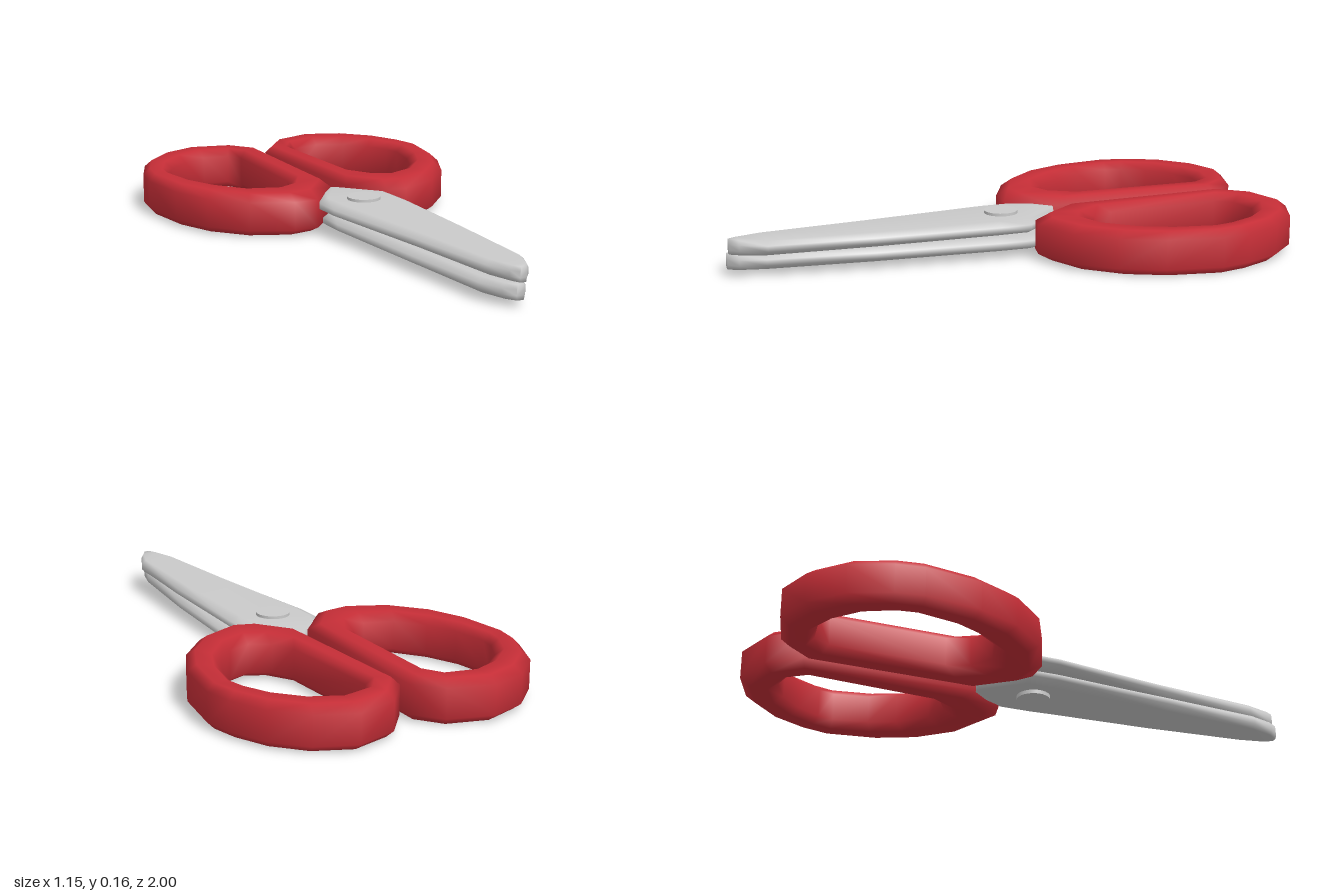
import * as THREE from 'three';

const red = new THREE.MeshStandardMaterial({ color: 0xc62e37 });
red.name = 'red plastic';
const steel = new THREE.MeshStandardMaterial({ color: 0xcacaca });
steel.name = 'steel';

// Chamfered bar swept through stations [ax, az, bx, bz]; the section spans a to b.
function sweep(name, material, stations, y0, y1, chamferX, chamferY, closed) {
  const c = chamferX, d = chamferY;
  const section = [[0, d], [0, 1 - d], [c, 1], [1 - c, 1], [1, 1 - d], [1, d], [1 - c, 0], [c, 0]];
  const pos = [], index = [];
  const m = section.length, n = stations.length;
  for (const [ax, az, bx, bz] of stations) {
    for (const [t, h] of section) {
      pos.push(ax + (bx - ax) * t, y0 + (y1 - y0) * h, az + (bz - az) * t);
    }
  }
  for (let i = 0; i < (closed ? n : n - 1); i++) {
    for (let k = 0; k < m; k++) {
      const a = i * m + k, b = i * m + (k + 1) % m;
      const e = ((i + 1) % n) * m + k, f = ((i + 1) % n) * m + (k + 1) % m;
      index.push(a, b, e, b, f, e);
    }
  }
  // End caps
  if (!closed) {
    const last = (n - 1) * m;
    for (let k = 1; k < m - 1; k++) {
      index.push(0, k + 1, k, last, last + k, last + k + 1);
    }
  }
  // Turn the faces outward: the enclosed volume must be positive
  let volume = 0;
  const p = [0, 1, 2].map(() => new THREE.Vector3());
  for (let i = 0; i < index.length; i += 3) {
    p.forEach((v, j) => v.fromArray(pos, index[i + j] * 3));
    volume += p[0].dot(p[1].clone().cross(p[2]));
  }
  if (volume < 0) index.reverse();
  const geometry = new THREE.BufferGeometry();
  geometry.setAttribute('position', new THREE.Float32BufferAttribute(pos, 3));
  geometry.setIndex(index);
  geometry.computeVertexNormals();
  const mesh = new THREE.Mesh(geometry, material);
  mesh.name = name;
  return mesh;
}

// Finger loops: outer x, outer z, inner x, inner z around each ring
const rightLoop = [
  [-0.02, -0.85, -0.12, -0.785], [-0.10, -0.945, -0.15, -0.845], [-0.26, -0.99, -0.245, -0.86],
  [-0.39, -0.945, -0.34, -0.82], [-0.50, -0.84, -0.425, -0.745], [-0.56, -0.70, -0.47, -0.66],
  [-0.575, -0.60, -0.48, -0.60], [-0.55, -0.40, -0.455, -0.475], [-0.49, -0.25, -0.405, -0.37],
  [-0.38, -0.13, -0.33, -0.27], [-0.235, -0.06, -0.225, -0.24], [-0.145, -0.06, -0.15, -0.29],
  [-0.02, -0.20, -0.12, -0.37],
];
const leftLoop = [
  [0.01, -0.84, 0.105, -0.785], [0.10, -0.95, 0.145, -0.845], [0.25, -1.0, 0.25, -0.865],
  [0.39, -0.945, 0.345, -0.82], [0.49, -0.84, 0.42, -0.74], [0.55, -0.71, 0.46, -0.66],
  [0.575, -0.60, 0.475, -0.60], [0.545, -0.40, 0.45, -0.475], [0.475, -0.25, 0.41, -0.38],
  [0.365, -0.13, 0.325, -0.28], [0.215, -0.06, 0.24, -0.25], [0.145, -0.075, 0.17, -0.29],
  [0.04, -0.20, 0.13, -0.37],
];

// Blades: z, right edge x, left edge x from the handle to the tip
const upperBlade = [
  [-0.20, -0.06, -0.005], [-0.06, -0.14, 0.15], [0.05, -0.138, 0.155], [0.5, -0.072, 0.143],
  [0.87, -0.025, 0.12], [0.96, 0.01, 0.08], [0.99, 0.03, 0.055],
];
const lowerBlade = [
  [-0.20, 0.02, 0.08], [-0.06, -0.125, 0.163], [0.05, -0.125, 0.163], [0.5, -0.088, 0.135],
  [0.87, -0.05, 0.095], [0.96, -0.015, 0.07], [0.995, 0.015, 0.045],
];
const edges = rows => rows.map(([z, a, b]) => [a, z, b, z]);

export function createModel() {
  const group = new THREE.Group();
  group.name = 'scissors';

  group.add(sweep('rightHandle', red, rightLoop, 0, 0.155, 0.26, 0.17, true));
  group.add(sweep('leftHandle', red, leftLoop, 0, 0.155, 0.26, 0.17, true));
  group.add(sweep('upperBlade', steel, edges(upperBlade), 0.079, 0.13, 0.12, 0.3, false));
  group.add(sweep('lowerBlade', steel, edges(lowerBlade), 0.024, 0.076, 0.12, 0.3, false));

  // Pivot pin through both blades
  const pivot = new THREE.Mesh(new THREE.CylinderGeometry(0.06, 0.06, 0.13, 32), steel);
  pivot.name = 'pivot';
  pivot.position.set(0.005, 0.075, 0.005);
  group.add(pivot);

  return group;
}
